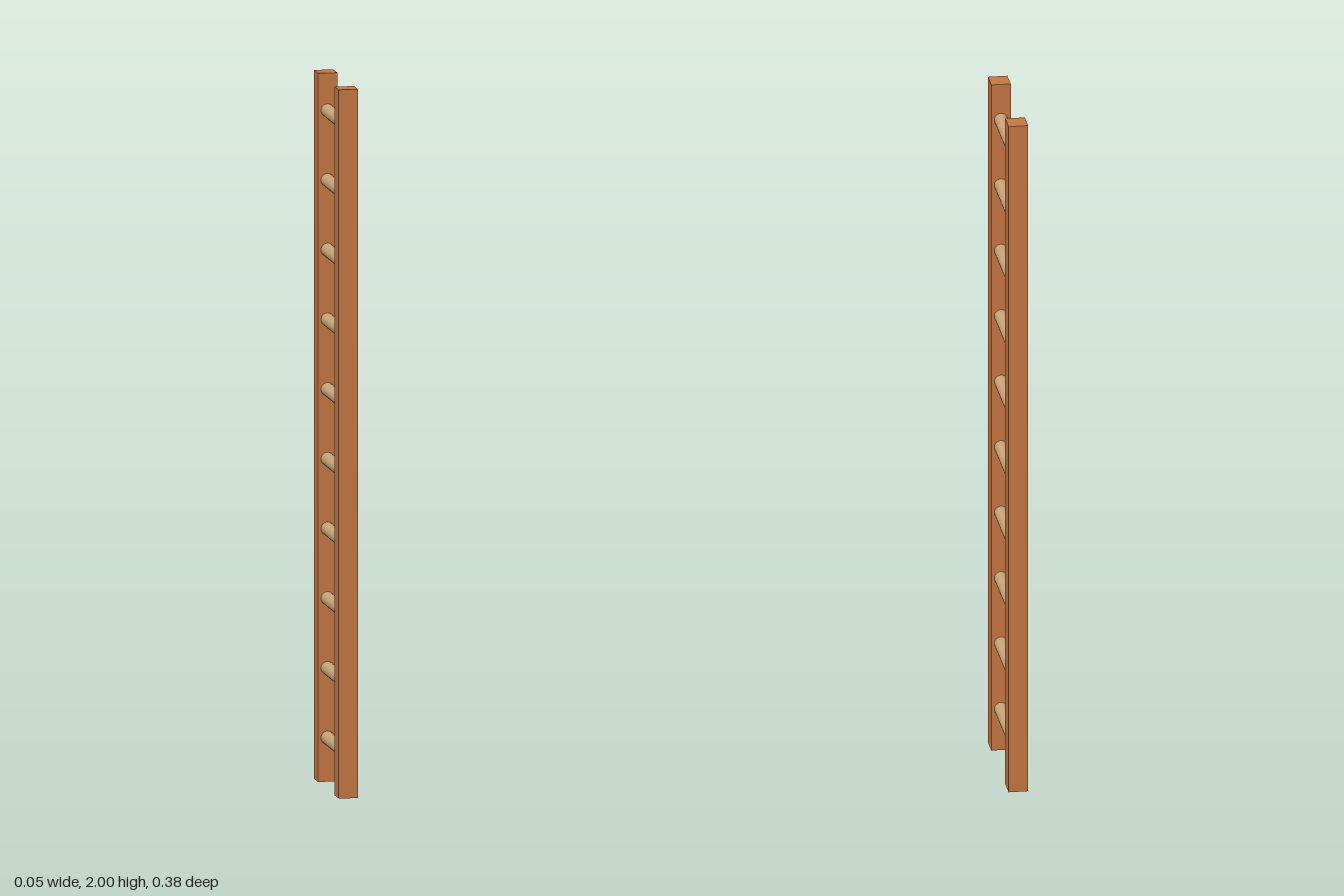
import * as THREE from 'three';

export function createModel() {
  const HEIGHT = 2, RAIL_W = 0.055, RAIL_D = 0.062, RAIL_Z = 0.159;
  const RUNGS = 10, RUNG_R = 0.019, FIRST_Y = 0.124, STEP = 0.1967;

  const railWood = new THREE.MeshStandardMaterial({ color: 0xc87843 });
  const rungWood = new THREE.MeshStandardMaterial({ color: 0xc8a47a });
  const ladder = new THREE.Group();
  ladder.name = 'ladder';

  // Two square upright rails
  const railGeometry = new THREE.BoxGeometry(RAIL_W, HEIGHT, RAIL_D);
  for (const [name, side] of [['frontRail', 1], ['backRail', -1]]) {
    const rail = new THREE.Mesh(railGeometry, railWood);
    rail.name = name;
    rail.position.set(0, HEIGHT / 2, side * RAIL_Z);
    ladder.add(rail);
  }

  // Evenly spaced round rungs, seated in the rails
  const rungGeometry = new THREE.CylinderGeometry(RUNG_R, RUNG_R, RAIL_Z * 2, 24);
  rungGeometry.rotateX(Math.PI / 2);
  for (let i = 0; i < RUNGS; i++) {
    const rung = new THREE.Mesh(rungGeometry, rungWood);
    rung.name = `rung${i + 1}`;
    rung.position.y = FIRST_Y + i * STEP;
    ladder.add(rung);
  }

  return ladder;
}
